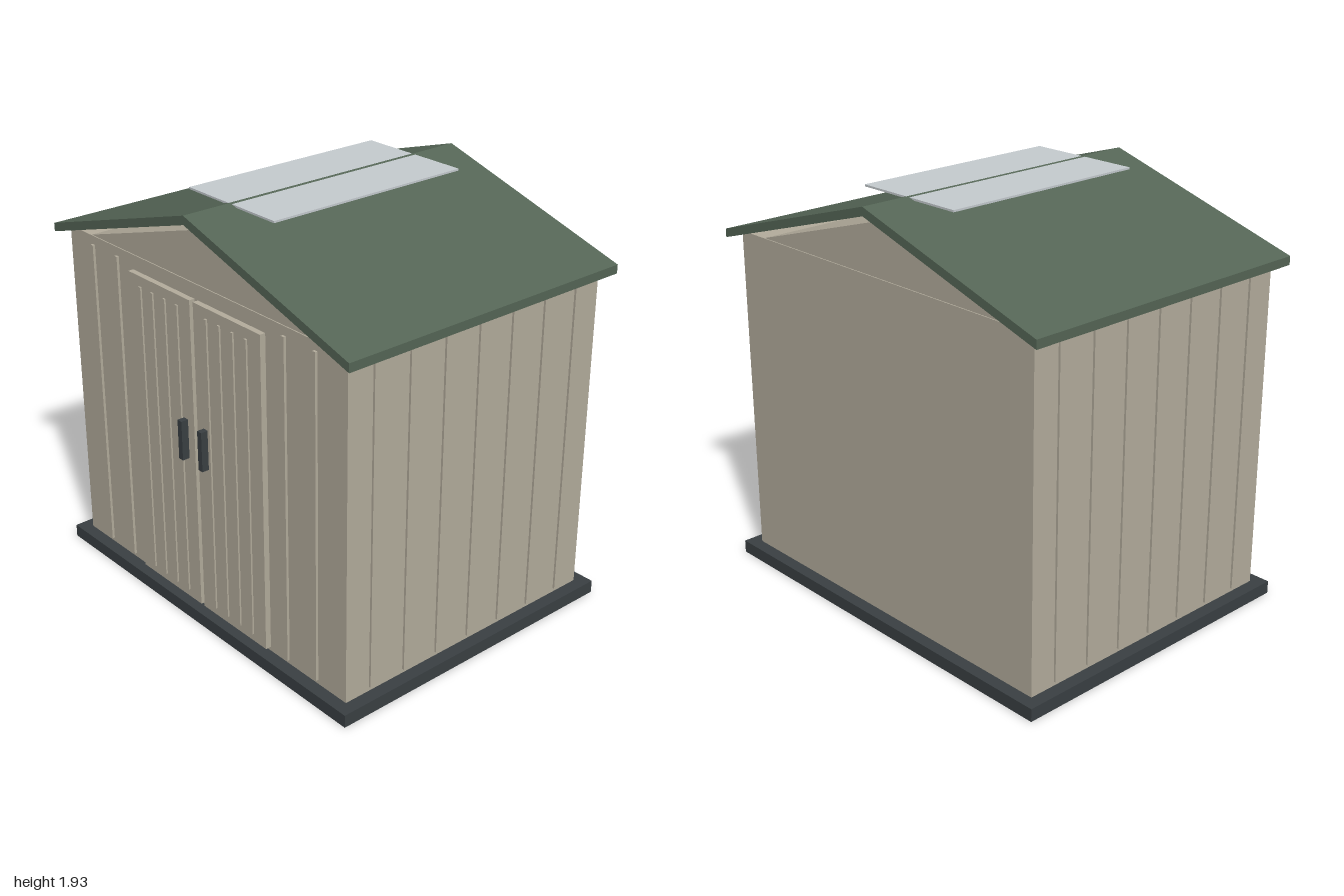
import * as THREE from 'three';

const mat = (name, color) => Object.assign(new THREE.MeshStandardMaterial({ color }), { name });

export function createModel() {
  const shed = new THREE.Group();
  shed.name = 'gardenShed';
  const wall = mat('beigePanel', 0xb4ad9d);
  const green = mat('greenRoof', 0x556656);
  const dark = mat('darkGrey', 0x3a4043);
  const clear = mat('paleSkylight', 0xc6ccd0);

  // Box given by its lower and upper limits on each axis
  function box(name, material, [x0, x1], [y0, y1], [z0, z1], parent = shed) {
    const mesh = new THREE.Mesh(new THREE.BoxGeometry(x1 - x0, y1 - y0, z1 - z0), material);
    mesh.position.set((x0 + x1) / 2, (y0 + y1) / 2, (z0 + z1) / 2);
    mesh.name = name;
    parent.add(mesh);
  }

  // Front outline extruded along z, centred on z = 0
  function prism(name, material, points, halfDepth) {
    const shape = new THREE.Shape(points.map(([x, y]) => new THREE.Vector2(x, y)));
    const geometry = new THREE.ExtrudeGeometry(shape, { depth: halfDepth * 2, bevelEnabled: false });
    geometry.translate(0, 0, -halfDepth);
    const mesh = new THREE.Mesh(geometry, material);
    mesh.name = name;
    shed.add(mesh);
  }

  const around = (c, w) => [c - w / 2, c + w / 2];

  // Base, walls and gable
  box('base', dark, [-1, 1], [0, 0.06], [-0.767, 0.767]);
  box('walls', wall, [-0.94, 0.94], [0.06, 1.628], [-0.708, 0.708]);
  prism('gable', wall, [[-0.775, 1.62], [0.775, 1.62], [0.775, 1.628], [0, 1.862], [-0.775, 1.628]], 0.703);

  // Pitched roof with plumb-cut eaves, and the flat skylight at the ridge
  prism('roof', green, [[-1, 1.595], [0, 1.895], [1, 1.595], [1, 1.635], [0, 1.935], [-1, 1.635]], 0.757);
  box('skylight', clear, [-0.282, 0.282], [1.923, 1.932], [-0.518, 0.518]);

  for (const side of [-1, 1]) {
    // Vertical ribs on the side walls
    for (let i = -3; i <= 3; i++) {
      box('sideRib', wall, around(side * 0.94, 0.02), [0.08, 1.588], around(i * 0.19, 0.02));
    }
    // Vertical ribs on the front wall
    for (const x of [0.57, 0.757]) {
      box('frontRib', wall, around(side * x, 0.018), [0.08, 1.588], [0.7, 0.72]);
    }
    // Door leaf with its ribs and handle
    const door = new THREE.Group();
    door.name = side > 0 ? 'leftDoor' : 'rightDoor';
    shed.add(door);
    const centre = side * 0.232;
    box('doorPanel', wall, around(centre, 0.44), [0.08, 1.56], [0.7, 0.735], door);
    for (const offset of [-0.131, -0.044, 0.044, 0.131]) {
      box('doorRib', wall, around(centre + offset, 0.015), [0.117, 1.513], [0.73, 0.743], door);
    }
    box('handle', dark, around(side * 0.07, 0.028), [0.808, 0.995], [0.735, 0.77], door);
  }
  return shed;
}
